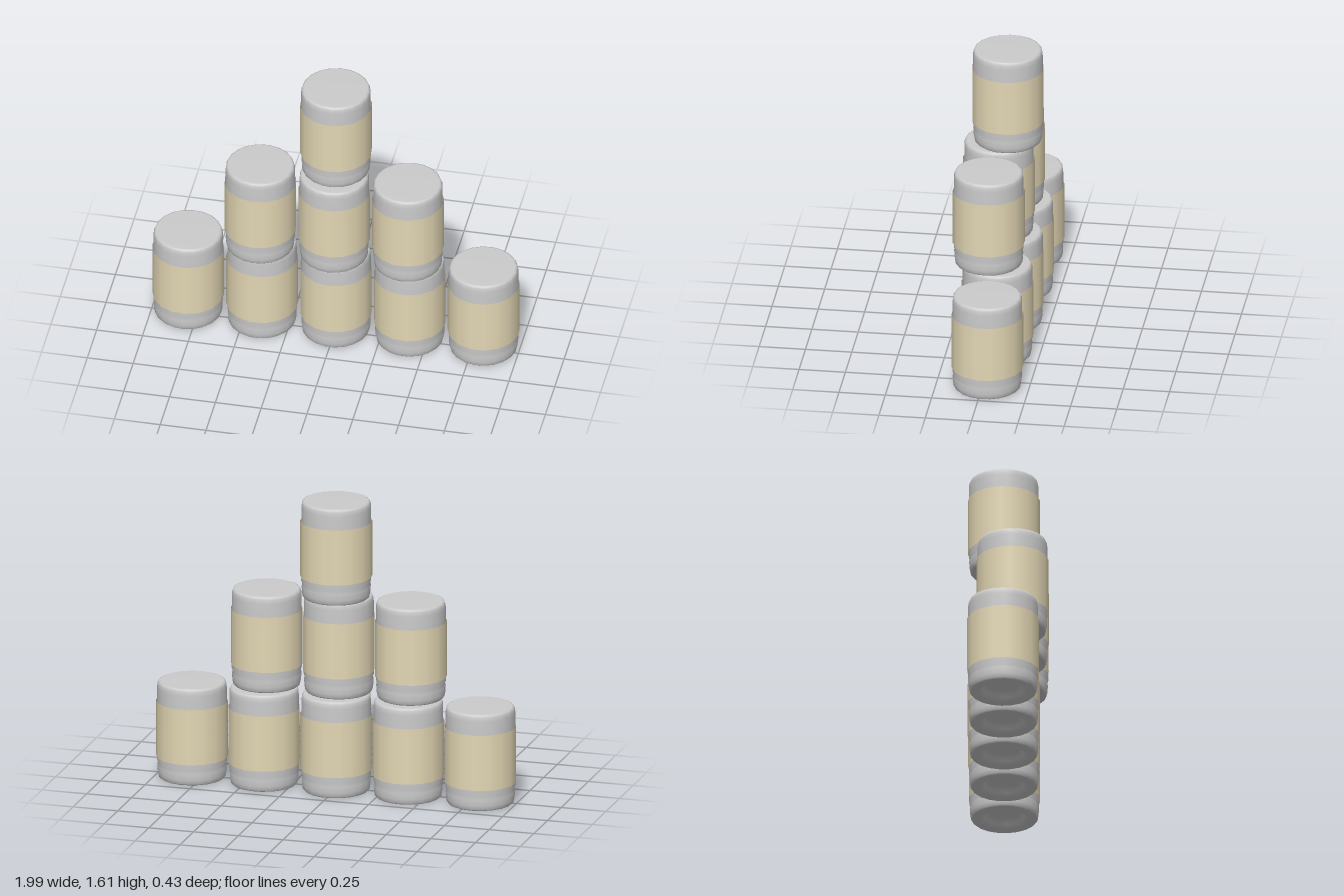
import * as THREE from 'three';

const R = 0.193;      // label radius
const HEIGHT = 0.538; // one can
const STEP = 0.403;   // spacing between cans

// Can body: recessed base, soft rims and slight ribs behind the label
const bodyProfile = [
  [0, 0.05], [0.085, 0.047], [0.105, 0.02], [0.118, 0.005], [0.135, 0],
  [0.172, 0], [0.18, 0.008], [0.184, 0.03], [0.186, 0.065], [0.183, 0.08], [0.188, 0.095],
  [0.187, 0.14], [0.1905, 0.149], [0.187, 0.158],
  [0.187, 0.3], [0.1898, 0.306], [0.187, 0.312],
  [0.187, 0.372], [0.1902, 0.379], [0.187, 0.386],
  [0.187, 0.43], [0.187, 0.5], [0.185, 0.522], [0.18, 0.534], [0.17, HEIGHT], [0, HEIGHT],
].map(([x, y]) => new THREE.Vector2(x, y));

export function createModel() {
  const model = new THREE.Group();
  const metal = new THREE.MeshStandardMaterial({ color: 0xcccccc });
  const paper = new THREE.MeshStandardMaterial({ color: 0xe3d7b4, side: THREE.DoubleSide });

  const bodyGeo = new THREE.LatheGeometry(bodyProfile, 20);
  const labelGeo = new THREE.CylinderGeometry(R, R, 0.308, 16, 1, true);
  labelGeo.translate(0, 0.272, 0);

  // Pyramid of cans, rows alternating slightly back and forward
  let index = 0;
  [5, 3, 1].forEach((count, row) => {
    for (let i = 0; i < count; i++) {
      const can = new THREE.Group();
      can.name = `can${++index}`;
      const body = new THREE.Mesh(bodyGeo, metal);
      body.name = 'canBody';
      const label = new THREE.Mesh(labelGeo, paper);
      label.name = 'label';
      can.add(body, label);
      can.position.set((i - (count - 1) / 2) * STEP, row * HEIGHT, row === 1 ? 0.024 : -0.024);
      can.rotation.y = index * 1.3;
      model.add(can);
    }
  });
  return model;
}
